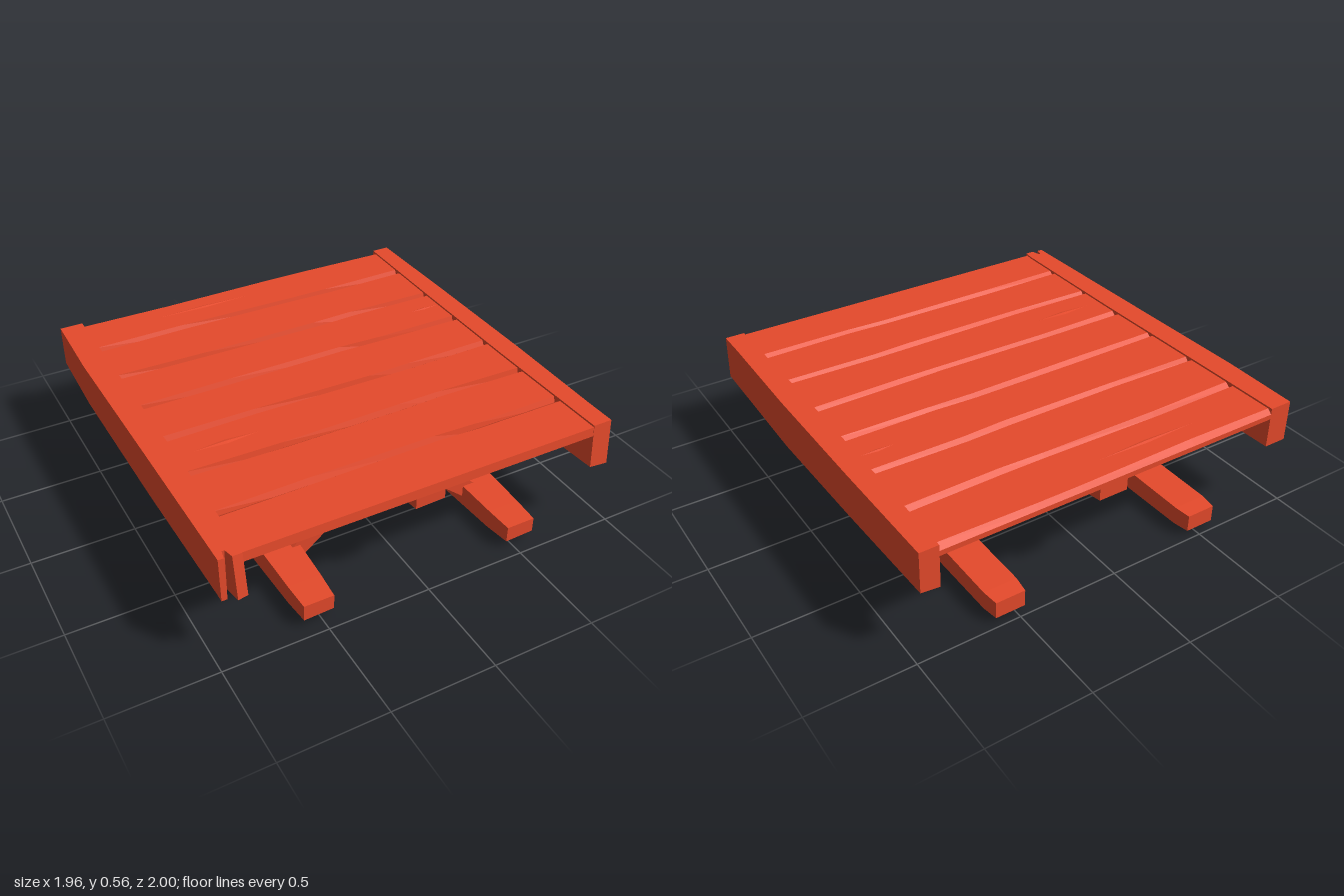
import * as THREE from 'three';

const material = new THREE.MeshStandardMaterial({ color: 0xe64a2b, flatShading: true });

// Closed solid through rings of [x, y, z] points, counter-clockwise seen from the last ring
function loft(name, rings) {
  const pos = [];
  const tri = (a, b, c) => pos.push(...a, ...b, ...c);
  const n = rings[0].length;
  for (let i = 0; i < rings.length - 1; i++) {
    for (let k = 0; k < n; k++) {
      const j = (k + 1) % n;
      tri(rings[i][k], rings[i][j], rings[i + 1][j]);
      tri(rings[i][k], rings[i + 1][j], rings[i + 1][k]);
    }
  }
  const first = rings[0], last = rings[rings.length - 1];
  for (let k = 1; k < n - 1; k++) {
    tri(first[0], first[k + 1], first[k]);
    tri(last[0], last[k], last[k + 1]);
  }
  const geometry = new THREE.BufferGeometry();
  geometry.setAttribute('position', new THREE.Float32BufferAttribute(pos, 3));
  geometry.computeVertexNormals();
  const mesh = new THREE.Mesh(geometry, material);
  mesh.name = name;
  return mesh;
}

// Hewn beam along z; rows: [z, x0, x1, y0, y1, forward shift of the bottom, lift of the bottom x1 edge]
function beam(name, rows) {
  return loft(name, rows.map(([z, x0, x1, y0, y1, dz = 0, lift = 0]) => [
    [x0, y0, z + dz], [x1, y0 + lift, z + dz], [x1, y1, z], [x0, y1, z],
  ]));
}

// Square timber between two points in the xy plane
function brace(name, x0, y0, x1, y1, z, width) {
  const mesh = new THREE.Mesh(
    new THREE.BoxGeometry(Math.hypot(x1 - x0, y1 - y0), 0.085, width), material);
  mesh.position.set((x0 + x1) / 2, (y0 + y1) / 2, z);
  mesh.rotation.z = Math.atan2(y1 - y0, x1 - x0);
  mesh.name = name;
  return mesh;
}

export function createModel() {
  const model = new THREE.Group();
  model.name = 'woodenPlatform';

  // Deck planks with a beveled back edge and a slightly uneven front edge
  const deck = new THREE.Group();
  deck.name = 'deck';
  const seams = [-1, -0.73, -0.44, -0.16, 0.125, 0.405, 0.69, 0.96];
  for (let i = 0; i < 7; i++) {
    const zb = seams[i], zf = seams[i + 1];
    const rings = [-0.87, -0.4, 0.2, 0.42, 0.89].map((x, k) => {
      const wobble = 0.006 * Math.sin(i * 2.3 + k * 1.9);
      const slope = i < 6 ? 0.018 + wobble : 0.006;
      return [
        [x, 0.51, zb], [x, 0.535, zb], [x, 0.556, zb + 0.023 + wobble],
        [x, 0.556, zf - slope], [x, 0.51, zf - 0.002],
      ];
    });
    deck.add(loft('plank', rings));
  }
  // Splinters on the plank tops: [x, z, half length, half width]
  for (const [x, z, l, w] of [[-0.23, -0.88, 0.32, 0.015], [-0.62, 0.27, 0.2, 0.02], [0.78, -0.31, 0.1, 0.012]]) {
    const splinter = new THREE.Mesh(new THREE.OctahedronGeometry(1), material);
    splinter.scale.set(l, 0.005, w);
    splinter.position.set(x, 0.555, z);
    splinter.name = 'splinter';
    deck.add(splinter);
  }
  model.add(deck);

  // Side rails; the one on the right is split at its front end
  model.add(beam('leftRail', [
    [-1, 0.88, 0.97, 0.355, 0.565, 0, 0.01],
    [-0.4, 0.87, 0.975, 0.335, 0.565, 0, 0.01],
    [0.25, 0.865, 0.975, 0.318, 0.565, 0, 0.006],
    [0.8, 0.867, 0.965, 0.335, 0.565, 0, -0.008],
    [0.955, 0.868, 0.965, 0.345, 0.565, 0.018, -0.01],
  ]));
  const rightRail = new THREE.Group();
  rightRail.name = 'rightRail';
  rightRail.add(
    beam('railBody', [
      [-1, -0.97, -0.856, 0.36, 0.565],
      [-0.6, -0.98, -0.856, 0.35, 0.565],
      [0.2, -0.972, -0.852, 0.34, 0.565],
      [0.92, -0.966, -0.858, 0.357, 0.565, 0, 0.008],
    ]),
    beam('outerSplit', [
      [0.91, -0.966, -0.93, 0.357, 0.565],
      [0.96, -0.966, -0.94, 0.357, 0.565, 0.01],
    ]),
    beam('innerSplit', [
      [0.91, -0.922, -0.858, 0.36, 0.565, 0, 0.008],
      [0.965, -0.908, -0.864, 0.362, 0.565, 0.035, 0.008],
    ]));
  model.add(rightRail);

  // Two ground skids and the ridge beam share one hewn, notched shape
  const beams = [['leftSkid', 0.54, 0], ['rightSkid', -0.51, 0], ['ridgeBeam', 0.025, 0.4]];
  for (const [name, x, y] of beams) {
    const mesh = beam(name, [
      [-0.98, -0.075, 0.07, 0.032, 0.115],
      [-0.9, -0.085, 0.08, 0.028, 0.118],
      [0.2, -0.088, 0.078, 0.006, 0.12],
      [0.25, -0.09, 0.098, 0, 0.12, 0, 0.012],
      [0.42, -0.09, 0.092, 0.004, 0.12, 0, 0.012],
      [0.8, -0.085, 0.075, 0.024, 0.12, 0, 0.01],
      [0.94, -0.08, 0.065, 0.04, 0.12, 0, 0.006],
    ]);
    mesh.position.set(x, y, 0);
    model.add(mesh);
  }

  // Sloping braces from the ridge beam down to the skids
  for (const [z, width] of [[0.5, 0.18], [-0.35, 0.15]]) {
    model.add(brace('leftBrace', 0.04, 0.455, 0.52, 0.06, z, width));
    model.add(brace('rightBrace', 0.01, 0.455, -0.47, 0.06, z, width));
  }
  return model;
}
